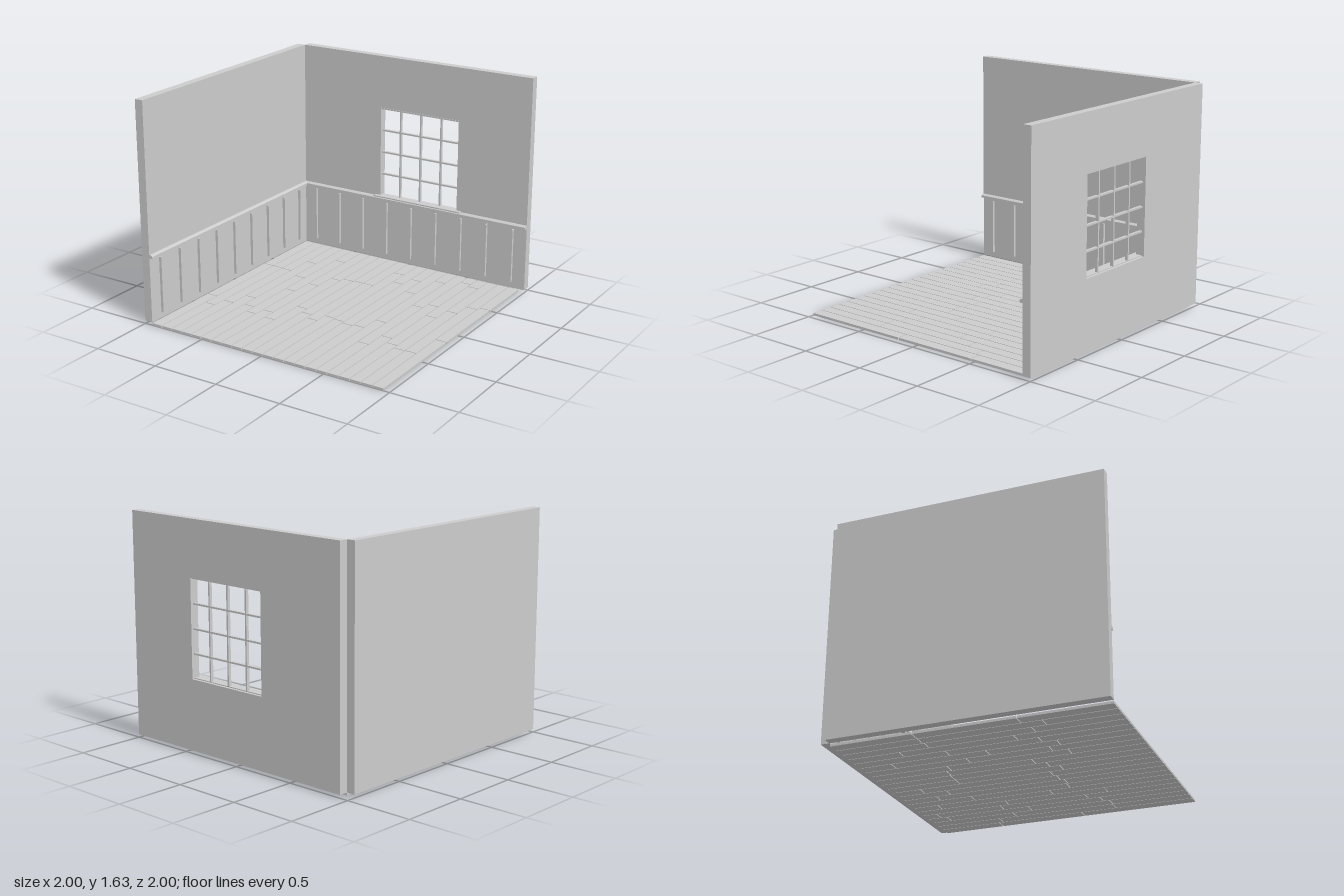
import * as THREE from 'three';

const plaster = new THREE.MeshStandardMaterial({ color: 0xcccccc });
plaster.name = 'plain grey';

function add(parent, name, geometry) {
  const mesh = new THREE.Mesh(geometry, plaster);
  mesh.name = name;
  parent.add(mesh);
  return mesh;
}

// Box given by its minimum and maximum corners
function span(parent, name, x0, x1, y0, y1, z0, z1) {
  const mesh = add(parent, name, new THREE.BoxGeometry(x1 - x0, y1 - y0, z1 - z0));
  mesh.position.set((x0 + x1) / 2, (y0 + y1) / 2, (z0 + z1) / 2);
  return mesh;
}

const INNER = -0.937; // inner face of both walls
const LENGTH = 1 - INNER;
const WIN = { x0: -0.247, x1: 0.418, y0: 0.53, y1: 1.229 };

// Positions of the end joints in each floor plank, from left to right
const JOINTS = [
  [-0.35, 0.365], [-0.35, 0.505], [-0.34, 0.4], [-0.56, 0.245], [-0.27, 0.38],
  [-0.7, -0.02, 0.475], [-0.195, 0.39], [-0.37, 0.49], [-0.41, 0.205], [-0.42, 0.275],
  [-0.42, 0.34], [-0.725, 0.24], [-0.565, 0.255], [-0.68, 0.28], [-0.45, 0.265],
  [-0.745, 0.11], [-0.26, 0.485], [-0.83, -0.33, 0.315], [-0.785, -0.15, 0.395],
  [-0.3, 0.44], [-0.44, 0.435], [-0.475, 0.17],
];

function createFloor() {
  const floor = new THREE.Group();
  floor.name = 'floor';
  const pitch = 0.0861, gap = 0.003;
  JOINTS.forEach((joints, i) => {
    const x = INNER + i * pitch;
    const ends = [-0.935, ...joints, 1 + gap];
    for (let j = 0; j < ends.length - 1; j++) {
      span(floor, 'floorPlank', x + gap, x + pitch - gap, 0, 0.017, ends[j] + gap, ends[j + 1] - gap);
    }
  });
  return floor;
}

// Rail and upright battens along a wall: local x points into the room, z runs along the wall
function createWainscot() {
  const group = new THREE.Group();
  group.name = 'wainscot';
  const profile = new THREE.Shape();
  [[0, 0.502], [0.026, 0.502], [0.026, 0.519], [0.012, 0.529], [0, 0.529]]
    .forEach(([x, y], i) => (i ? profile.lineTo(x, y) : profile.moveTo(x, y)));
  add(group, 'chairRail', new THREE.ExtrudeGeometry(profile, { depth: LENGTH, bevelEnabled: false }));
  for (let i = 0; i < 9; i++) {
    const z = 0.108 + i * 0.2151;
    span(group, 'batten', 0, 0.02, 0.065, 0.482, z - 0.005, z + 0.005);
  }
  return group;
}

function createBackWall() {
  const wall = new THREE.Shape();
  wall.moveTo(INNER, 0.022).lineTo(1, 0.022).lineTo(1, 1.632).lineTo(INNER, 1.632).closePath();
  const hole = new THREE.Path();
  hole.moveTo(WIN.x0, WIN.y0).lineTo(WIN.x0, WIN.y1).lineTo(WIN.x1, WIN.y1).lineTo(WIN.x1, WIN.y0).closePath();
  wall.holes.push(hole);
  return new THREE.ExtrudeGeometry(wall, { depth: 1 + INNER, bevelEnabled: false });
}

function createWindow() {
  const group = new THREE.Group();
  group.name = 'window';
  const half = 0.006, z0 = -0.98, z1 = -0.958, step = 0.1735;
  for (let i = 1; i <= 3; i++) {
    const x = -0.261 + i * step, y = WIN.y0 + i * step;
    span(group, 'uprightBar', x - half, x + half, WIN.y0, WIN.y1, z0, z1);
    span(group, 'crossBar', WIN.x0, WIN.x1, y - half, y + half, z0, z1);
  }
  // Head strip and projecting sill
  span(group, 'windowHead', -0.265, 0.433, 1.223, 1.233, -0.99, INNER + 0.004);
  span(group, 'windowSill', -0.29, 0.457, 0.527, 0.536, INNER - 0.003, -0.908);
  span(group, 'sillBar', WIN.x0, WIN.x1, 0.527, 0.536, z0, INNER);
  return group;
}

export function createModel() {
  const model = new THREE.Group();
  model.name = 'roomCorner';
  model.add(createFloor());

  // Walls meet only at the inside corner
  span(model, 'sideWall', -1, INNER, 0.022, 1.632, INNER, 1);
  add(model, 'backWall', createBackWall()).position.z = -1;
  model.add(createWindow());

  const sideTrim = createWainscot();
  sideTrim.position.set(INNER, 0, INNER);
  const backTrim = createWainscot();
  backTrim.rotation.y = -Math.PI / 2;
  backTrim.position.set(1, 0, INNER);
  model.add(sideTrim, backTrim);
  return model;
}
